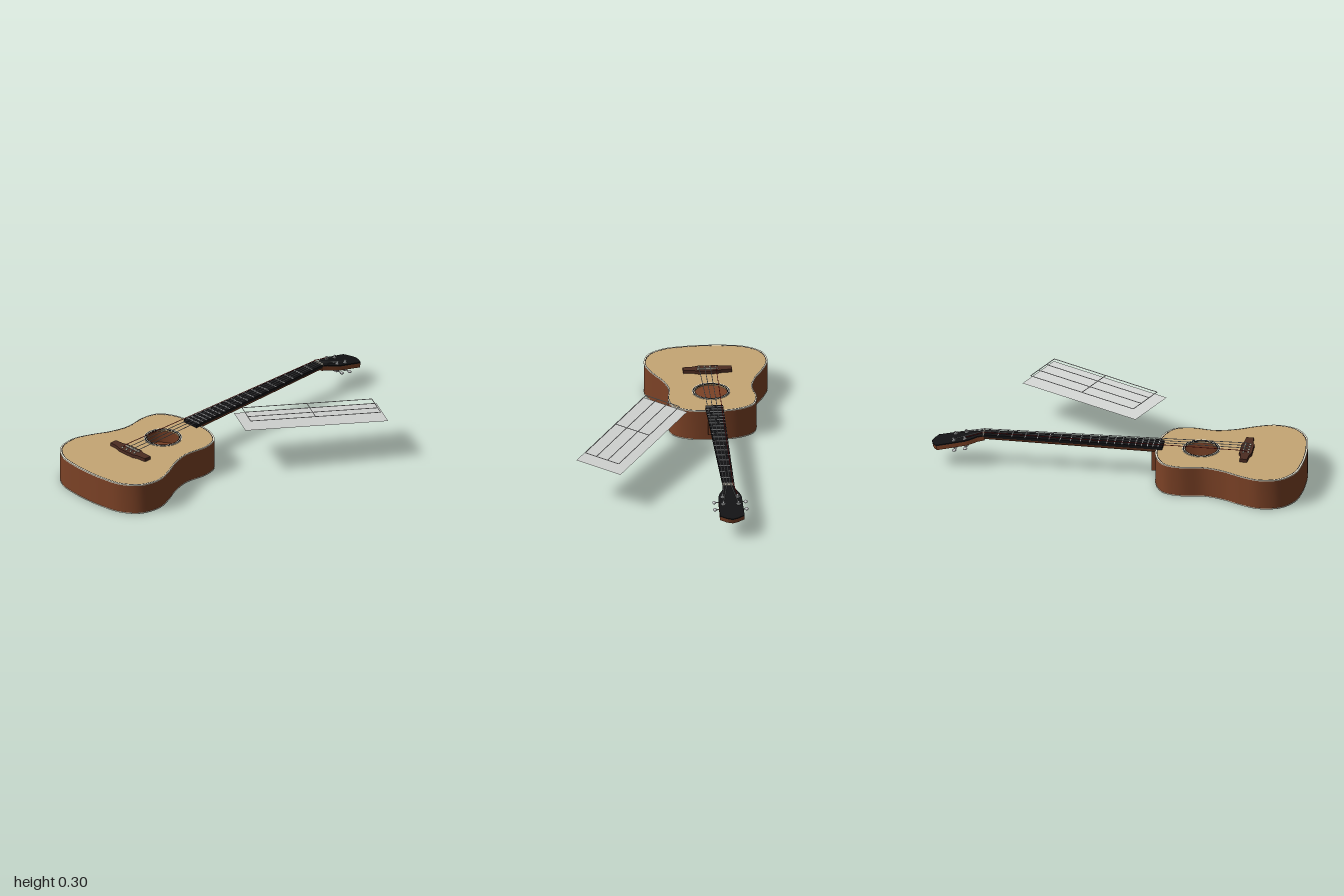
import * as THREE from 'three';
import { toCreasedNormals } from 'three/addons/utils/BufferGeometryUtils.js';

const mat = (name, color, side = THREE.FrontSide) => {
  const m = new THREE.MeshStandardMaterial({ color, side });
  m.name = name;
  return m;
};

export function createModel() {
  const brown = mat('mahogany', 0x7c4226, THREE.DoubleSide);
  const spruce = mat('spruce', 0xc6a674);
  const black = mat('ebony', 0x121214);
  const rosewood = mat('rosewood', 0x4c2c22);
  const cream = mat('cream binding', 0xe4dfcc);
  const silver = mat('silver', 0xc4c6c8);
  const red = mat('red string', 0xb02828);
  const grey = mat('pale grey', 0xd2d4d2, THREE.DoubleSide);
  const white = mat('white', 0xf0f0f0);

  const root = new THREE.Group();
  root.name = 'guitarWithChart';
  const guitar = new THREE.Group();
  guitar.name = 'guitar';
  guitar.position.x = -0.2305;
  root.add(guitar);

  const add = (parent, name, geo, material, x = 0, y = 0, z = 0) => {
    const m = new THREE.Mesh(geo, material);
    m.name = name;
    m.position.set(x, y, z);
    parent.add(m);
    return m;
  };
  // Horizontal slab from an (x, z) outline, occupying heights y0..y1
  const slab = (points, y0, y1, hole) => {
    const shape = new THREE.Shape(points);
    if (hole) shape.holes.push(new THREE.Path(hole));
    const g = new THREE.ExtrudeGeometry(shape, { depth: y1 - y0, bevelEnabled: false });
    g.rotateX(Math.PI / 2).translate(0, y1, 0);
    return toCreasedNormals(g, 0.6);
  };
  const V = (x, z) => new THREE.Vector2(x, z);
  const mirrored = (half) => [
    ...half.map(([x, z]) => V(x, z)),
    ...half.filter(([x]) => x > 0).reverse().map(([x, z]) => V(-x, z)),
  ];
  const circle = (r, z) => Array.from({ length: 48 }, (_, i) =>
    V(r * Math.cos(i * Math.PI / 24), z + r * Math.sin(i * Math.PI / 24)));
  // Thin round rod between two points
  const rod = (parent, name, a, b, r, material, sides = 6) => {
    const d = b.clone().sub(a);
    const m = add(parent, name, new THREE.CylinderGeometry(r, r, d.length(), sides), material);
    m.position.copy(a).addScaledVector(d, 0.5);
    m.quaternion.setFromUnitVectors(new THREE.Vector3(0, 1, 0), d.normalize());
    return m;
  };

  // Body outline
  const half = [[0, 0.2], [0.13, 0.215], [0.21, 0.265], [0.234, 0.35], [0.221, 0.48], [0.246, 0.585],
    [0.296, 0.69], [0.326, 0.79], [0.3, 0.9], [0.215, 0.967], [0.1, 0.99], [0, 0.995]];
  const curve = new THREE.CatmullRomCurve3(
    mirrored(half).map((p) => new THREE.Vector3(p.x, 0, p.y)), true);
  const base = curve.getPoints(120).slice(0, -1);
  const outline = (s) => base.map((p) => V(p.x * s, 0.6 + (p.z - 0.6) * s));
  const holeZ = 0.437;
  add(guitar, 'bodySides', slab(outline(1), 0.003, 0.168, outline(0.97)), brown);
  add(guitar, 'bodyBack', slab(outline(0.985), 0, 0.006), brown);
  add(guitar, 'soundboard', slab(outline(0.975), 0.162, 0.17, circle(0.085, holeZ)), spruce);
  add(guitar, 'purfling', slab(outline(0.984), 0.164, 0.1702, outline(0.974)), black);
  for (const [name, y] of [['backBinding', 0], ['topBinding', 0.165]]) {
    add(guitar, name, slab(outline(1.004), y, y + 0.0055, outline(0.984)), cream);
  }

  // Rosette around the sound hole
  for (const [r0, r1, m] of [[0.085, 0.089, black], [0.089, 0.092, cream], [0.092, 0.098, black], [0.098, 0.101, cream]]) {
    add(guitar, 'rosetteRing', slab(circle(r1, holeZ), 0.168, 0.172, circle(r0, holeZ)), m);
  }

  // Bridge, saddle and pins
  const bridge = mirrored([[0, 0.646], [0.05, 0.646], [0.075, 0.656], [0.129, 0.659],
    [0.129, 0.699], [0.075, 0.703], [0.05, 0.713], [0, 0.713]]);
  add(guitar, 'bridge', slab(bridge, 0.169, 0.188), rosewood);
  add(guitar, 'saddle', new THREE.BoxGeometry(0.11, 0.009, 0.006), cream, 0, 0.191, 0.667);

  // Neck, heel and fretboard
  const nutZ = -0.72, endZ = 0.235;
  const boardHalf = (z) => 0.031 + 0.016 * (z - nutZ) / (endZ - nutZ);
  const neck = new THREE.CylinderGeometry(0.031, 0.046, 0.93, 24, 1, false, Math.PI / 2, Math.PI);
  neck.rotateX(-Math.PI / 2).scale(1, 0.72, 1);
  add(guitar, 'neck', neck, brown, 0, 0.173, nutZ + 0.465);
  add(guitar, 'heel', new THREE.BoxGeometry(0.07, 0.125, 0.03), brown, 0, 0.1025, 0.193);
  add(guitar, 'fretboard', slab(mirrored([[0, nutZ], [0.031, nutZ], [0.047, endZ], [0, endZ]]), 0.17, 0.186), black);
  add(guitar, 'nut', new THREE.BoxGeometry(0.062, 0.02, 0.008), cream, 0, 0.184, nutZ);
  for (let n = 1; n < 20; n++) {
    const z = nutZ + 1.4 * (1 - 2 ** (-n / 12));
    add(guitar, 'fret', new THREE.BoxGeometry(boardHalf(z) * 2, 0.004, 0.005), silver, 0, 0.187, z);
  }

  // Tilted headstock
  const head = new THREE.Group();
  head.name = 'headstock';
  const tilt = -0.23;
  head.position.set(0, 0.181, nutZ);
  head.rotation.x = tilt;
  guitar.add(head);
  const headShape = mirrored([[0, 0], [0.031, 0], [0.034, -0.035], [0.055, -0.075], [0.062, -0.1],
    [0.065, -0.255], [0.03, -0.277], [0, -0.286]]);
  add(head, 'headCore', slab(headShape, -0.029, -0.006), brown);
  add(head, 'headVeneer', slab(headShape, -0.006, 0), black);

  // Tuners: post, gear box, shaft and button
  const posts = [];
  for (const s of [-1, 1]) {
    for (const z of [-0.1, -0.16]) {
      const x = s * 0.04;
      posts.push(new THREE.Vector3(x, 0.009, z));
      add(head, 'tunerPost', new THREE.CylinderGeometry(0.006, 0.006, 0.05, 12), silver, x, -0.01, z);
      add(head, 'tunerWasher', new THREE.CylinderGeometry(0.01, 0.01, 0.004, 16), silver, x, 0.001, z);
      add(head, 'tunerGear', new THREE.BoxGeometry(0.024, 0.012, 0.02), silver, x, -0.035, z);
      rod(head, 'tunerShaft', new THREE.Vector3(x, -0.035, z), new THREE.Vector3(s * 0.08, -0.035, z), 0.003, silver, 8);
      const button = add(head, 'tunerButton', new THREE.SphereGeometry(0.012, 16, 10), silver, s * 0.084, -0.035, z);
      button.scale.set(0.8, 0.6, 1);
    }
  }
  head.updateMatrix();

  // Four strings from bridge pins over the nut to the posts
  const postOrder = [posts[0], posts[1], posts[3], posts[2]];
  postOrder.forEach((post, i) => {
    const t = i - 1.5;
    const m = i === 0 ? red : silver;
    const pin = new THREE.Vector3(t * 0.03, 0.189, 0.694);
    const saddle = new THREE.Vector3(t * 0.03, 0.197, 0.667);
    const nut = new THREE.Vector3(t * 0.0145, 0.195, nutZ);
    add(guitar, 'bridgePin', new THREE.SphereGeometry(0.006, 12, 8), cream, pin.x, pin.y, pin.z);
    rod(guitar, 'string', pin, saddle, 0.002, m);
    rod(guitar, 'string', saddle, nut, 0.002, m);
    rod(guitar, 'string', nut, post.clone().applyMatrix4(head.matrix), 0.002, m);
  });

  // Tilted chart plate with a line grid hovering over it
  const chart = new THREE.Group();
  chart.name = 'chart';
  const across = new THREE.Vector3(0.223, 0.029, 0.136).normalize();
  const up = new THREE.Vector3(-0.404, 0.035, 0.661).cross(across).normalize();
  const along = across.clone().cross(up);
  chart.quaternion.setFromRotationMatrix(new THREE.Matrix4().makeBasis(across, up, along));
  chart.position.set(0.24, 0.2325, -0.197);
  root.add(chart);
  const W = 0.262, L = 0.774;
  add(chart, 'chartPlate', new THREE.PlaneGeometry(W, L).rotateX(-Math.PI / 2), grey);
  const lw = 0.003, gw = W * 0.76, gl = L * 0.91, gy = 0.04;
  for (let i = 0; i < 4; i++) {
    add(chart, 'longLine', new THREE.BoxGeometry(lw, lw, gl), white, gw * (i / 3 - 0.5), gy, 0);
  }
  for (const z of [-0.5, 0, 0.5]) {
    add(chart, 'crossLine', new THREE.BoxGeometry(gw, lw, lw), white, 0, gy, z * gl);
  }
  return root;
}
